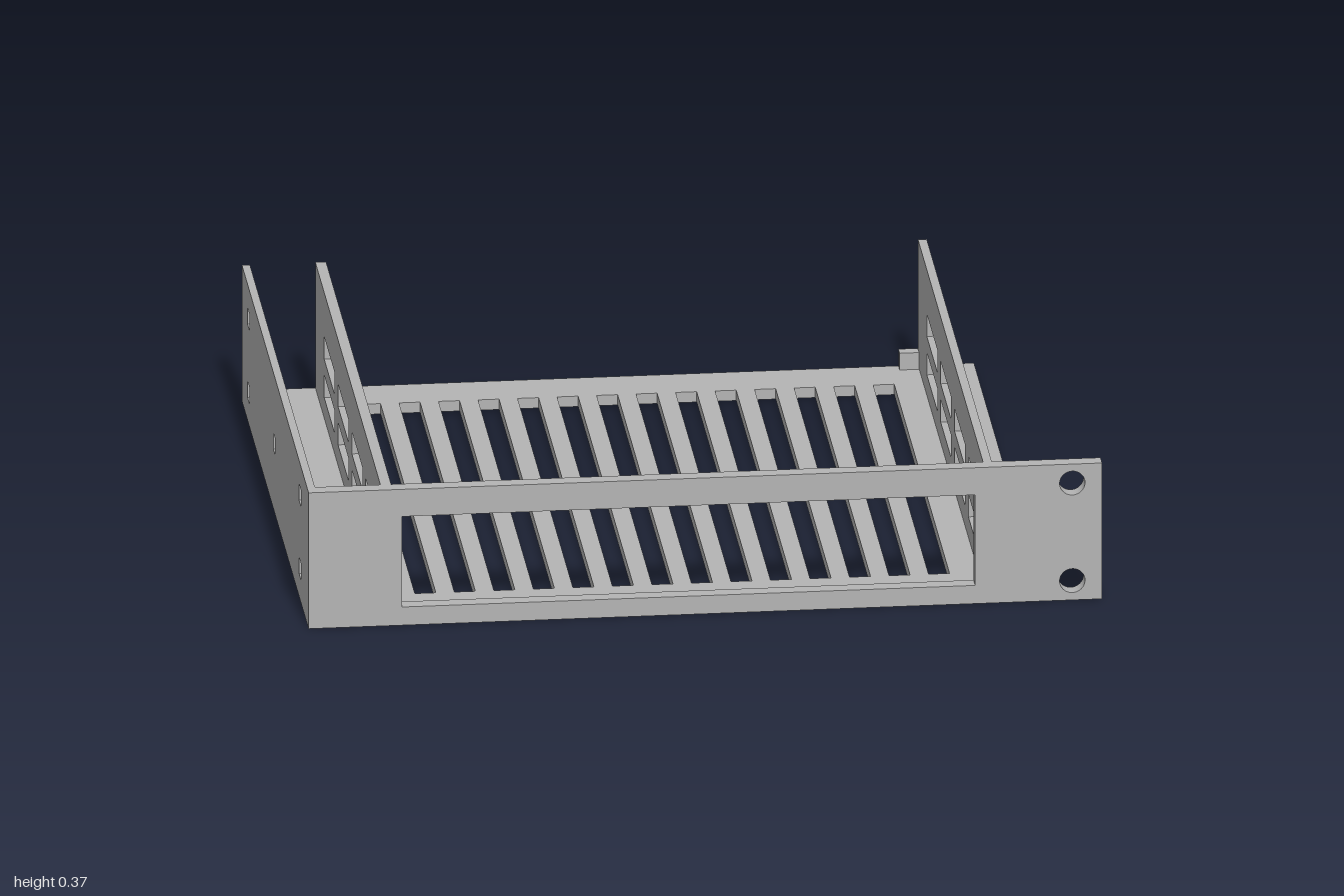
import * as THREE from 'three';

const HEIGHT = 0.365, FLOOR = 0.028, BACK = -0.8, PANEL_BACK = 0.762, FRONT = 0.8;

// Rectangle outline, usable as a shape or a hole
function rect(Type, x0, x1, y0, y1) {
  const p = new Type();
  p.moveTo(x0, y0);
  p.lineTo(x1, y0);
  p.lineTo(x1, y1);
  p.lineTo(x0, y1);
  p.closePath();
  return p;
}
const hole = (...r) => rect(THREE.Path, ...r);

// Flat plate with cut-outs, extruded along +z
function plate(bounds, holes, depth) {
  const shape = rect(THREE.Shape, ...bounds);
  shape.holes.push(...holes);
  return new THREE.ExtrudeGeometry(shape, { depth, bevelEnabled: false, curveSegments: 32 });
}

export function createModel() {
  const group = new THREE.Group();
  const grey = new THREE.MeshStandardMaterial({ color: 0xb4b4b4 });
  grey.name = 'grey';

  function add(name, geometry) {
    const mesh = new THREE.Mesh(geometry, grey);
    mesh.name = name;
    group.add(mesh);
  }

  // Front panel with window and two screw holes
  const panelHoles = [hole(-0.765, 0.68, 0.049, 0.292)];
  for (const y of [0.052, 0.314]) {
    panelHoles.push(new THREE.Path().absarc(0.925, y, 0.032, 0, Math.PI * 2, true));
  }
  add('frontPanel', plate([-1, 1, 0, HEIGHT], panelHoles, FRONT - PANEL_BACK).translate(0, 0, PANEL_BACK));

  // Floor with two rows of ventilation slots
  const floorSlots = [];
  for (let i = 0; i < 14; i++) {
    const x = -0.717 + i * 0.0996;
    floorSlots.push(hole(x, x + 0.053, -0.673, -0.08), hole(x, x + 0.053, 0, 0.655));
  }
  add('floor', plate([-1, 0.845, BACK, PANEL_BACK], floorSlots, FLOOR)
    .rotateX(Math.PI / 2).translate(0, FLOOR, 0));

  // Upright walls running front to back
  function wall(name, x0, x1, holes) {
    add(name, plate([BACK, PANEL_BACK, FLOOR, HEIGHT], holes, x1 - x0)
      .rotateY(-Math.PI / 2).translate(x1, 0, 0));
  }

  // Inner walls: two rows of four vents
  const vents = [];
  for (let i = 0; i < 4; i++) {
    const z = 0.41 - i * 0.3325;
    for (const y of [0.083, 0.186]) vents.push(hole(z, z + 0.253, y, y + 0.06));
  }
  wall('innerWallRight', -0.815, -0.788, vents);
  wall('innerWallLeft', 0.704, 0.726, vents);

  // Outer wall: five small mounting holes
  const mounts = [[0.594, 0.083], [0.594, 0.28], [-0.025, 0.181], [-0.644, 0.083], [-0.644, 0.28]]
    .map(([z, y]) => hole(z - 0.022, z + 0.022, y - 0.022, y + 0.022));
  wall('outerWall', -1, -0.98, mounts);

  // Stop blocks in the rear corners
  for (const [name, x] of [['rearStopRight', -0.764], ['rearStopLeft', 0.679]]) {
    add(name, new THREE.BoxGeometry(0.049, 0.045, 0.03).translate(x, FLOOR + 0.0225, BACK + 0.015));
  }
  return group;
}
